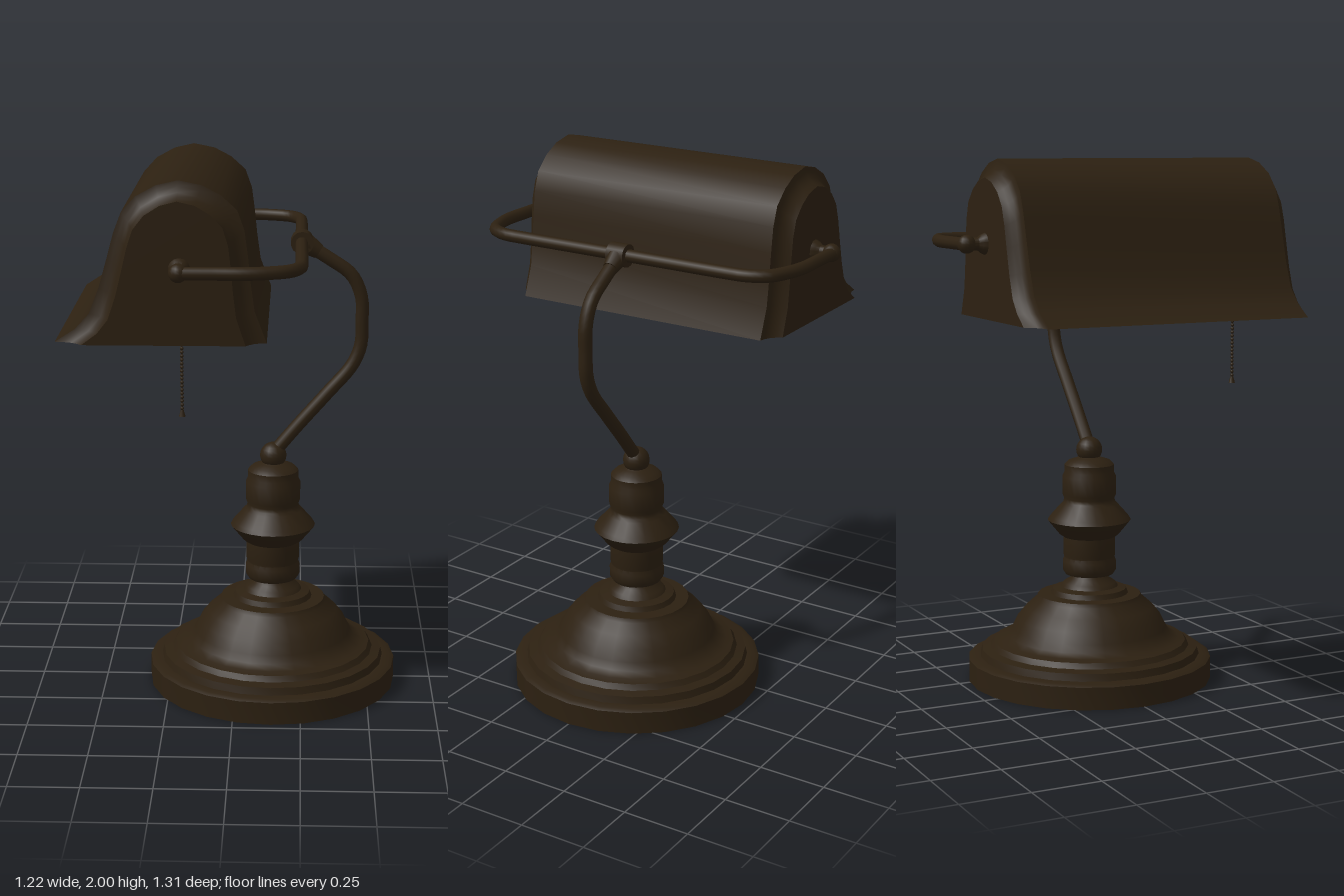
import * as THREE from 'three';
import { toCreasedNormals } from 'three/addons/utils/BufferGeometryUtils.js';

const V = (x, y, z) => new THREE.Vector3(x, y, z);
const BASE_X = 0.14, PIVOT_X = -0.175, PIVOT_Y = 1.705;

export function createModel() {
  const lamp = new THREE.Group();
  lamp.name = 'deskLamp';
  const bronze = new THREE.MeshStandardMaterial({ color: 0x2c2011, side: THREE.DoubleSide });

  const add = (name, geometry, x = 0, y = 0, z = 0, parent = lamp) => {
    const mesh = new THREE.Mesh(geometry, bronze);
    mesh.name = name;
    mesh.position.set(x, y, z);
    parent.add(mesh);
    return mesh;
  };
  const lathe = (pts, segments = 24) => toCreasedNormals(
    new THREE.LatheGeometry(pts.map(([r, y]) => new THREE.Vector2(r, y)), segments), 0.7);
  const tube = (pts, radius, segments) => new THREE.TubeGeometry(
    new THREE.CatmullRomCurve3(pts, false, 'centripetal'), segments, radius, 10);

  // Stepped hollow foot, open underneath
  add('base', lathe([
    [0.47, 0], [0.47, 0.085], [0.455, 0.093], [0.425, 0.095], [0.418, 0.122], [0.385, 0.13],
    [0.372, 0.15], [0.345, 0.157], [0.315, 0.172], [0.298, 0.2], [0.278, 0.24], [0.245, 0.28],
    [0.205, 0.315], [0.198, 0.33], [0.15, 0.333], [0.142, 0.352], [0.11, 0.36],
    [0.1, 0.375], [0.075, 0.39], [0.065, 0.41],
  ]), BASE_X);

  // Turned column with a flared collar
  add('column', lathe([
    [0.06, 0.4], [0.092, 0.408], [0.103, 0.425], [0.103, 0.46], [0.097, 0.475], [0.1, 0.485],
    [0.1, 0.555], [0.115, 0.565], [0.16, 0.62], [0.15, 0.635], [0.11, 0.68], [0.1, 0.69],
    [0.097, 0.705], [0.103, 0.72], [0.103, 0.79], [0.095, 0.808], [0.095, 0.835],
    [0.08, 0.85], [0.05, 0.86], [0.03, 0.87],
  ]), BASE_X);
  add('columnBall', new THREE.SphereGeometry(0.05, 16, 12), BASE_X, 0.892);

  // Bent stem
  add('stem', tube([
    V(0.14, 0.9, 0), V(0.24, 1.02, 0), V(0.34, 1.135, 0), V(0.432, 1.245, 0), V(0.462, 1.32, 0),
    V(0.465, 1.41, 0), V(0.462, 1.5, 0), V(0.425, 1.583, 0), V(0.34, 1.645, 0), V(0.245, 1.703, 0),
  ], 0.025, 40), 0, 0, 0);

  // Clamp joining stem and yoke
  const clamp = new THREE.Group();
  clamp.name = 'clamp';
  clamp.position.set(0.242, PIVOT_Y, 0);
  lamp.add(clamp);
  add('clampSleeve', new THREE.CylinderGeometry(0.042, 0.042, 0.07, 14), 0, 0, 0, clamp).rotation.x = Math.PI / 2;
  add('clampSocket', new THREE.CylinderGeometry(0.028, 0.038, 0.05, 12), 0.04, -0.023, 0, clamp).rotation.z = -2.12;

  // Yoke reaching around both ends of the shade
  const half = [
    [PIVOT_X, 0.628], [-0.06, 0.628], [0.05, 0.628], [0.13, 0.61], [0.2, 0.575], [0.235, 0.51], [0.24, 0.43], [0.24, 0.2],
  ];
  const yokePts = [
    ...half.map(([x, z]) => V(x, PIVOT_Y, z)),
    ...half.slice().reverse().map(([x, z]) => V(x, PIVOT_Y, -z)),
  ];
  add('yoke', tube(yokePts, 0.023, 72));

  // Pivot knobs
  for (const s of [1, -1]) {
    add('pivotBall', new THREE.SphereGeometry(0.033, 14, 10), PIVOT_X, PIVOT_Y, s * 0.622);
    const pin = add('pivotPin', lathe([[0.04, 0], [0.032, 0.018], [0.022, 0.03], [0.022, 0.06]], 14), PIVOT_X, PIVOT_Y, s * 0.552);
    pin.rotation.x = s * Math.PI / 2;
  }

  // Shade: bell-shaped section swept along z, with a cove at each end
  const section = [
    [-0.61, 1.44], [-0.54, 1.485], [-0.49, 1.54], [-0.455, 1.63], [-0.425, 1.735], [-0.402, 1.82],
    [-0.375, 1.89], [-0.325, 1.945], [-0.255, 1.983], [-0.18, 2.0], [-0.1, 1.984], [-0.035, 1.95],
    [0.02, 1.9], [0.045, 1.83], [0.057, 1.74], [0.066, 1.65], [0.08, 1.55], [0.122, 1.44],
  ];
  const cove = [[0.505, 1], [0.509, 0.93], [0.52, 0.86], [0.535, 0.81], [0.555, 0.77]];
  const inset = ([x, y], k) => [-0.19 + (x + 0.19) * k, 1.44 + (y - 1.44) * (0.5 + 0.5 * k)];
  const rings = [
    ...cove.slice().reverse().map(([z, k]) => [-z, k]),
    ...cove,
  ];
  const positions = [], index = [], n = section.length;
  rings.forEach(([z, k], j) => section.forEach((p, i) => {
    positions.push(...inset(p, k), z);
    if (j < rings.length - 1 && i < n - 1) {
      const a = j * n + i, b = a + 1, c = a + n, d = c + 1;
      index.push(a, c, b, b, c, d);
    }
  }));
  const shell = new THREE.BufferGeometry();
  shell.setAttribute('position', new THREE.Float32BufferAttribute(positions, 3));
  shell.setIndex(index);
  add('shade', toCreasedNormals(shell, 0.7));
  const endShape = new THREE.Shape(section.map(p => new THREE.Vector2(...inset(p, 0.77))));
  for (const s of [1, -1]) {
    const end = add('shadeEnd', new THREE.ShapeGeometry(endShape), 0, 0, s * 0.555);
    if (s < 0) {
      // Turn the back face outward by mirroring its section
      end.geometry.index.array.reverse();
      end.geometry.attributes.normal.array.forEach((v, i, arr) => { arr[i] = -v; });
    }
  }

  // Lamp holder and spiral bulb inside the shade
  add('bulbSocket', new THREE.CylinderGeometry(0.05, 0.05, 0.17, 16), PIVOT_X, PIVOT_Y, 0.47).rotation.x = Math.PI / 2;
  add('bulbBase', new THREE.CylinderGeometry(0.06, 0.045, 0.1, 16), PIVOT_X, PIVOT_Y, 0.34).rotation.x = -Math.PI / 2;
  const coil = [];
  for (let i = 0; i <= 84; i++) {
    const t = i / 84, a = t * Math.PI * 14;
    coil.push(V(0.058 * Math.cos(a), 0.058 * Math.sin(a), 0.3 - 0.37 * t));
  }
  add('spiralBulb', new THREE.TubeGeometry(new THREE.CatmullRomCurve3(coil), 168, 0.017, 8), PIVOT_X, PIVOT_Y, 0);

  // Beaded pull chain
  const chain = new THREE.Group();
  chain.name = 'pullChain';
  chain.position.set(PIVOT_X, 0, 0.445);
  lamp.add(chain);
  const bead = new THREE.SphereGeometry(0.0065, 8, 6);
  for (let y = 1.19; y < 1.66; y += 0.0135) add('chainBead', bead, 0, y, 0, chain);
  add('chainCord', new THREE.CylinderGeometry(0.002, 0.002, 0.48, 6), 0, 1.42, 0, chain);
  add('chainPull', new THREE.CylinderGeometry(0.005, 0.012, 0.024, 10), 0, 1.173, 0, chain);

  return lamp;
}
